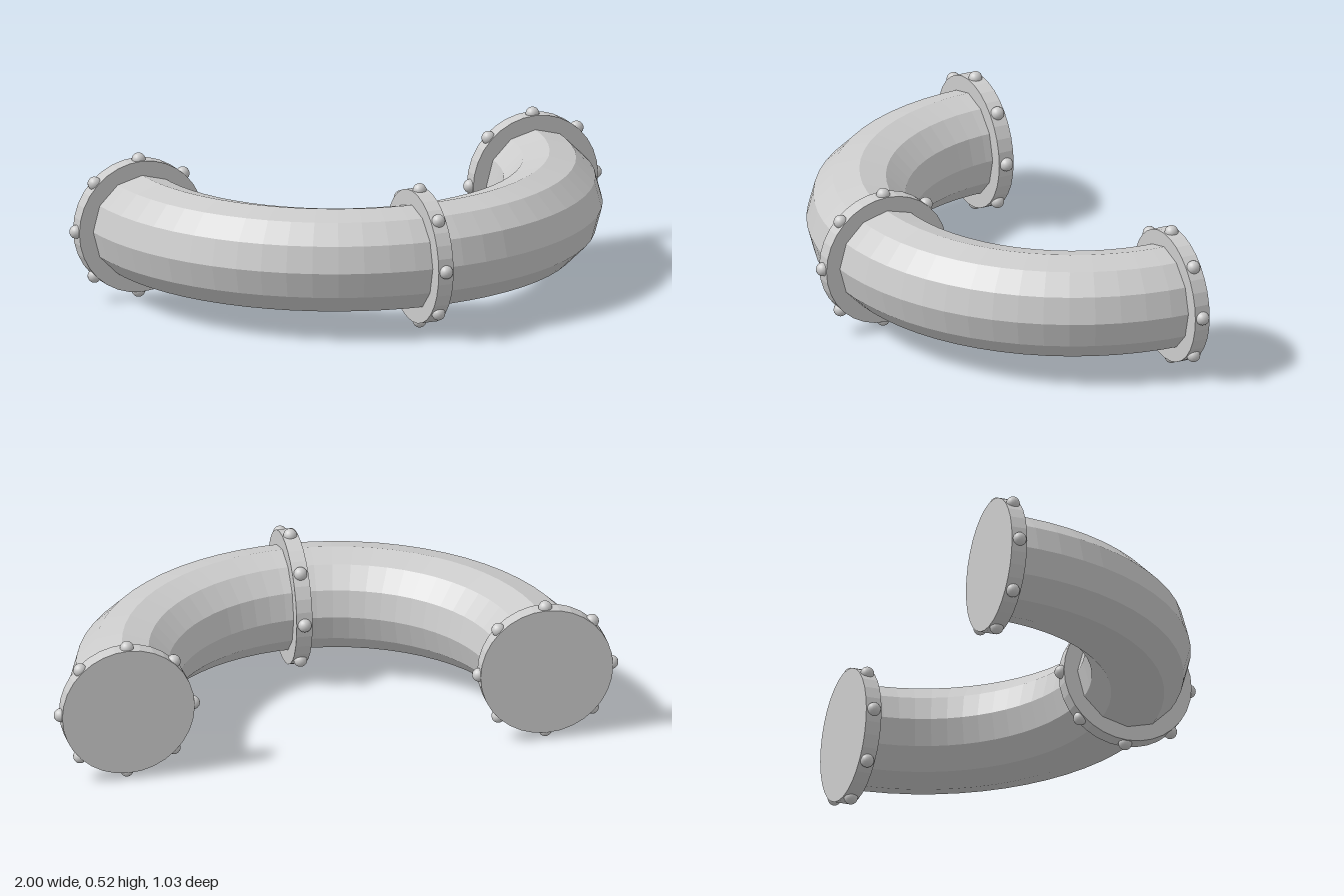
import * as THREE from 'three';

const BEND = 0.742, TUBE = 0.184, FLANGE = 0.235, BOLT = 0.024;
const HEIGHT = 0.26, BACK = -0.485;

export function createModel() {
  const flat = new THREE.MeshStandardMaterial({ color: 0xcccccc, flatShading: true });
  const smooth = new THREE.MeshStandardMaterial({ color: 0xcccccc });
  const model = new THREE.Group();
  model.name = 'pipeBend';

  // Half-circle pipe, lying flat with its open ends at the back
  const pipe = new THREE.Mesh(
    new THREE.TorusGeometry(BEND, TUBE, 12, 32, Math.PI).rotateX(Math.PI / 2), flat);
  pipe.name = 'pipe';
  pipe.position.set(0, HEIGHT, BACK);
  model.add(pipe);

  // Disc flange whose axis is z, with eight round bolts on its rim
  const discGeometry = new THREE.CylinderGeometry(FLANGE, FLANGE, 0.056, 32).rotateX(Math.PI / 2);
  const boltGeometry = new THREE.SphereGeometry(BOLT, 16, 12);
  function addFlange(name, angle) {
    const flange = new THREE.Group();
    flange.name = name;
    const disc = new THREE.Mesh(discGeometry, flat);
    disc.name = 'flangeDisc';
    flange.add(disc);
    for (let i = 0; i < 8; i++) {
      const a = (i * Math.PI) / 4;
      const bolt = new THREE.Mesh(boltGeometry, smooth);
      bolt.name = 'bolt';
      bolt.position.set(Math.cos(a) * FLANGE, Math.sin(a) * FLANGE, 0);
      flange.add(bolt);
    }
    // Place it on the bend, square to the pipe
    flange.position.set(Math.cos(angle) * BEND, HEIGHT, BACK + Math.sin(angle) * BEND);
    flange.rotation.y = -angle;
    model.add(flange);
  }
  addFlange('leftFlange', 0);
  addFlange('middleFlange', Math.PI / 2);
  addFlange('rightFlange', Math.PI);

  return model;
}
